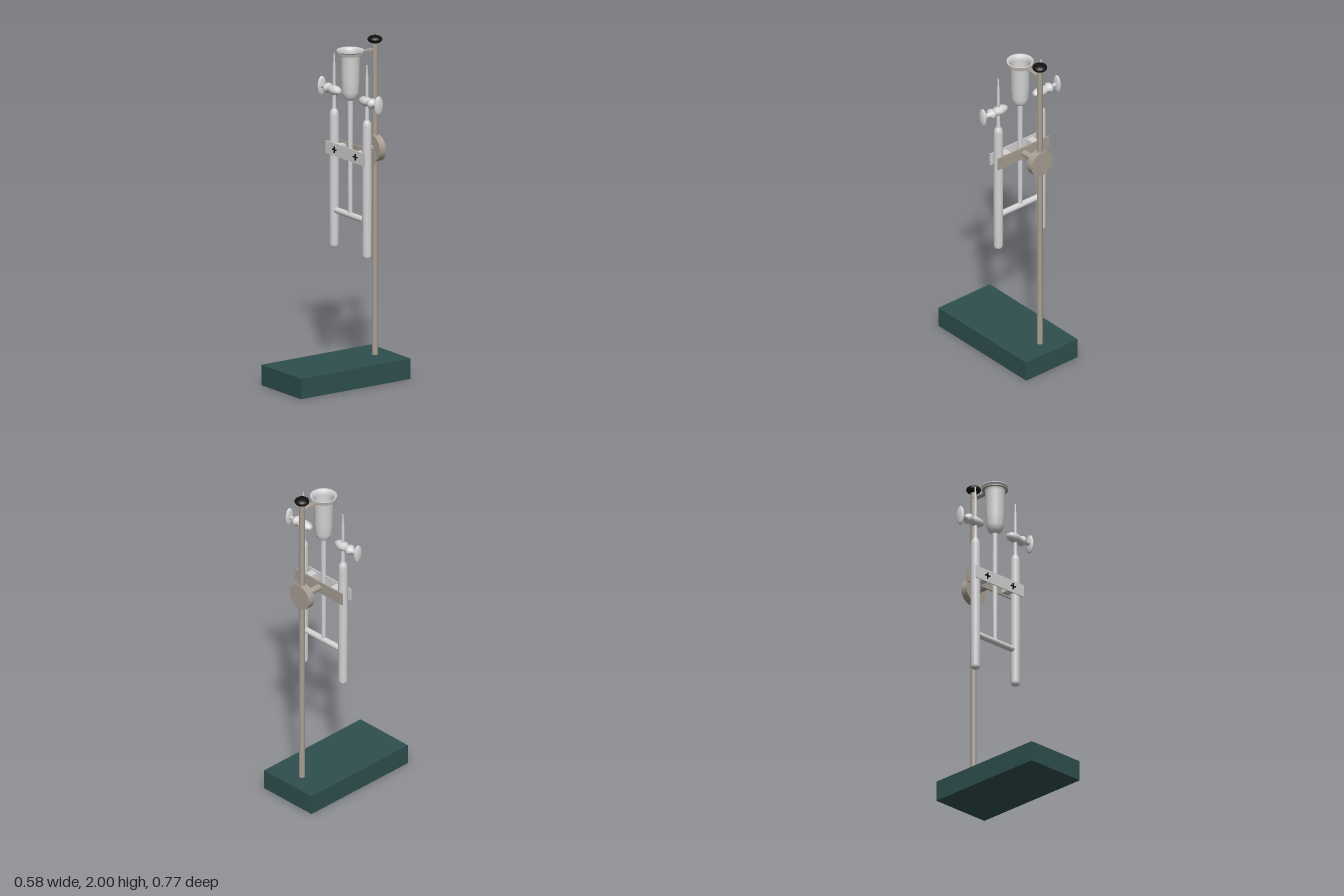
import * as THREE from 'three';

export function createModel() {
  const model = new THREE.Group();
  const material = (name, color, side = THREE.FrontSide) => {
    const m = new THREE.MeshStandardMaterial({ color, side });
    m.name = name;
    return m;
  };
  const glass = material('pale glass', 0xd3d3d3, THREE.DoubleSide);
  const metal = material('warm metal', 0xa89f94);
  const black = material('black', 0x111111);
  const green = material('dark green', 0x2f4f4f);

  const add = (name, geometry, mat, x = 0, y = 0, z = 0, parent = model) => {
    const mesh = new THREE.Mesh(geometry, mat);
    mesh.name = name;
    mesh.position.set(x, y, z);
    parent.add(mesh);
    return mesh;
  };
  const box = (w, h, d) => new THREE.BoxGeometry(w, h, d);
  const rod = (r, h) => new THREE.CylinderGeometry(r, r, h, 32);
  const lathe = (points) =>
    new THREE.LatheGeometry(points.map(([r, y]) => new THREE.Vector2(r, y)), 40);
  const glassZ = -0.102, rodZ = -0.275, clampY = 1.337, mid = 0.003;

  // Stand
  add('base', box(0.385, 0.12, 0.77), green, mid, 0.06, 0);
  add('standRod', rod(0.017, 1.86), metal, 0, 1.04, rodZ);
  add('standKnob', new THREE.SphereGeometry(0.042, 40, 20), black, 0, 1.977, rodZ).scale.y = 0.55;

  // Clamp: boss, arm and the two plates
  add('clampBoss', rod(0.078, 0.043), metal, 0, clampY, -0.275).rotation.x = Math.PI / 2;
  add('clampArm', rod(0.02, 0.13), metal, 0, clampY, -0.198).rotation.x = Math.PI / 2;
  add('backPlate', box(0.385, 0.075, 0.008), metal, mid, clampY, -0.136);
  add('frontPlate', box(0.385, 0.075, 0.006), glass, mid, clampY, -0.067);
  for (const side of [-1, 1]) {
    const x = mid + side * 0.102;
    add('clampSpacer', box(0.045, 0.055, 0.064), glass, x, clampY, glassZ);
    add('screwSlotAcross', box(0.037, 0.006, 0.008), black, x, clampY, -0.061);
    add('screwSlotUpright', box(0.006, 0.037, 0.008), black, x, clampY, -0.061);
  }

  // Reservoir: open flared funnel with a thin stem
  add('reservoir', lathe([
    [0.013, 1.64], [0.018, 1.648], [0.032, 1.654], [0.043, 1.668], [0.05, 1.695],
    [0.053, 1.76], [0.056, 1.9], [0.06, 1.921], [0.068, 1.93], [0.077, 1.934],
    [0.078, 1.94], [0.07, 1.939], [0.06, 1.931], [0.054, 1.91], [0.05, 1.76],
    [0.046, 1.695], [0.039, 1.673], [0.028, 1.662], [0.012, 1.658],
  ]), glass, 0, 0, glassZ);
  add('reservoirStem', new THREE.CylinderGeometry(0.016, 0.013, 0.69, 32, 1, true), glass, 0, 1.312, glassZ);

  // Ring bracket that holds the reservoir to the rod
  const ring = new THREE.Shape().absarc(0, 0, 0.075, 0, Math.PI * 2);
  ring.holes.push(new THREE.Path().absarc(0, 0, 0.058, 0, Math.PI * 2, true));
  add('holderRing', new THREE.ExtrudeGeometry(ring, { depth: 0.006, bevelEnabled: false, curveSegments: 32 }),
    metal, 0, 1.918, glassZ).rotation.x = -Math.PI / 2;
  add('holderArm', box(0.032, 0.006, 0.1), metal, 0, 1.921, -0.222);

  // Side tubes joined by a cross tube
  add('crossTube', rod(0.018, 0.31), glass, mid, 0.967, glassZ).rotation.z = Math.PI / 2;
  for (const side of [-1, 1]) {
    add('sideTube', lathe([
      [0, 0.748], [0.018, 0.748], [0.024, 0.753], [0.026, 0.765], [0.028, 1.15],
      [0.027, 1.525], [0.023, 1.547], [0.016, 1.557], [0.012, 1.566], [0.011, 1.62],
      [0.009, 1.68], [0.0085, 1.82], [0.005, 1.845], [0.004, 1.885], [0, 1.886],
    ]), glass, mid + side * 0.16, 0, glassZ);

    // Stopcock body, turned about the sideways axis
    const tap = new THREE.Group();
    tap.name = side > 0 ? 'leftStopcock' : 'rightStopcock';
    tap.position.set(0, 1.67, glassZ);
    tap.rotation.z = -side * Math.PI / 2;
    model.add(tap);
    add('stopcockBody', lathe([
      [0, 0.099], [0.011, 0.1], [0.016, 0.107], [0.018, 0.114], [0.024, 0.122],
      [0.025, 0.132], [0.028, 0.145], [0.028, 0.165], [0.023, 0.185], [0.022, 0.2],
      [0.029, 0.209], [0.03, 0.219], [0.024, 0.229], [0.016, 0.236], [0.012, 0.25],
      [0.013, 0.27], [0, 0.278],
    ]), glass, 0, 0, 0, tap).scale.z = 1.1;
    add('stopcockHandle', new THREE.SphereGeometry(1, 32, 20), glass, 0, 0.278, 0, tap)
      .scale.set(0.057, 0.013, 0.029);
  }
  return model;
}
